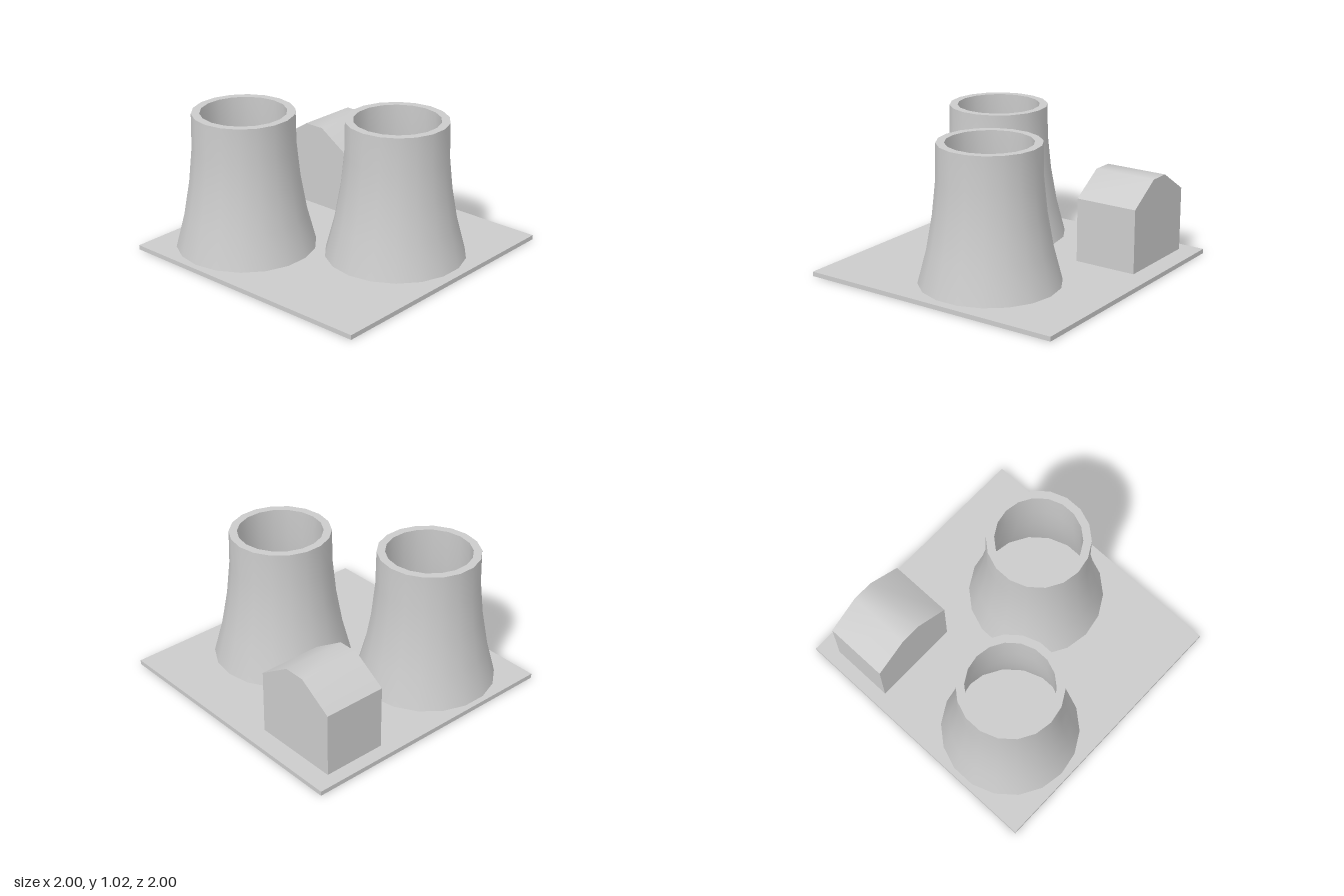
import * as THREE from 'three';
import { toCreasedNormals } from 'three/addons/utils/BufferGeometryUtils.js';

const GROUND = 0.033;
const CREASE = THREE.MathUtils.degToRad(40);
const material = new THREE.MeshStandardMaterial({ color: 0xcccccc });

function addPart(parent, name, geometry, x, y, z) {
  const mesh = new THREE.Mesh(geometry, material);
  mesh.name = name;
  mesh.position.set(x, y, z);
  parent.add(mesh);
}

// Hollow flared tower: up the outside, across the rim, down the inside
function towerGeometry() {
  const wall = 0.058;
  const outer = [[0.5, GROUND], [0.436, 0.278], [0.392, 0.528], [0.366, 0.778], [0.362, 1.025]];
  const inner = outer.map(([r, y]) => [r - wall, y]).reverse();
  const profile = [...outer, ...inner].map(([r, y]) => new THREE.Vector2(r, y));
  return toCreasedNormals(new THREE.LatheGeometry(profile, 18, Math.PI / 2), CREASE);
}

// Gabled hall with a flattened ridge, extruded along x
function hallGeometry() {
  const width = 0.47;
  const section = new THREE.Shape([
    [-0.325, GROUND], [0.325, GROUND], [0.325, 0.5], [0.078, 0.66], [-0.078, 0.66], [-0.325, 0.5],
  ].map(([z, y]) => new THREE.Vector2(z, y)));
  const geometry = new THREE.ExtrudeGeometry(section, { depth: width, bevelEnabled: false });
  geometry.translate(0, 0, -width / 2).rotateY(-Math.PI / 2);
  return toCreasedNormals(geometry, CREASE);
}

export function createModel() {
  const model = new THREE.Group();
  model.name = 'coolingTowerPlant';

  // Ground slab
  addPart(model, 'groundSlab', new THREE.BoxGeometry(2, GROUND, 2), 0, GROUND / 2, 0);

  // Two cooling towers
  const tower = towerGeometry();
  addPart(model, 'rearTower', tower, -0.453, 0, -0.465);
  addPart(model, 'frontTower', tower, 0.123, 0, 0.435);

  // Hall
  addPart(model, 'hall', hallGeometry(), 0.62, 0, -0.575);

  return model;
}
